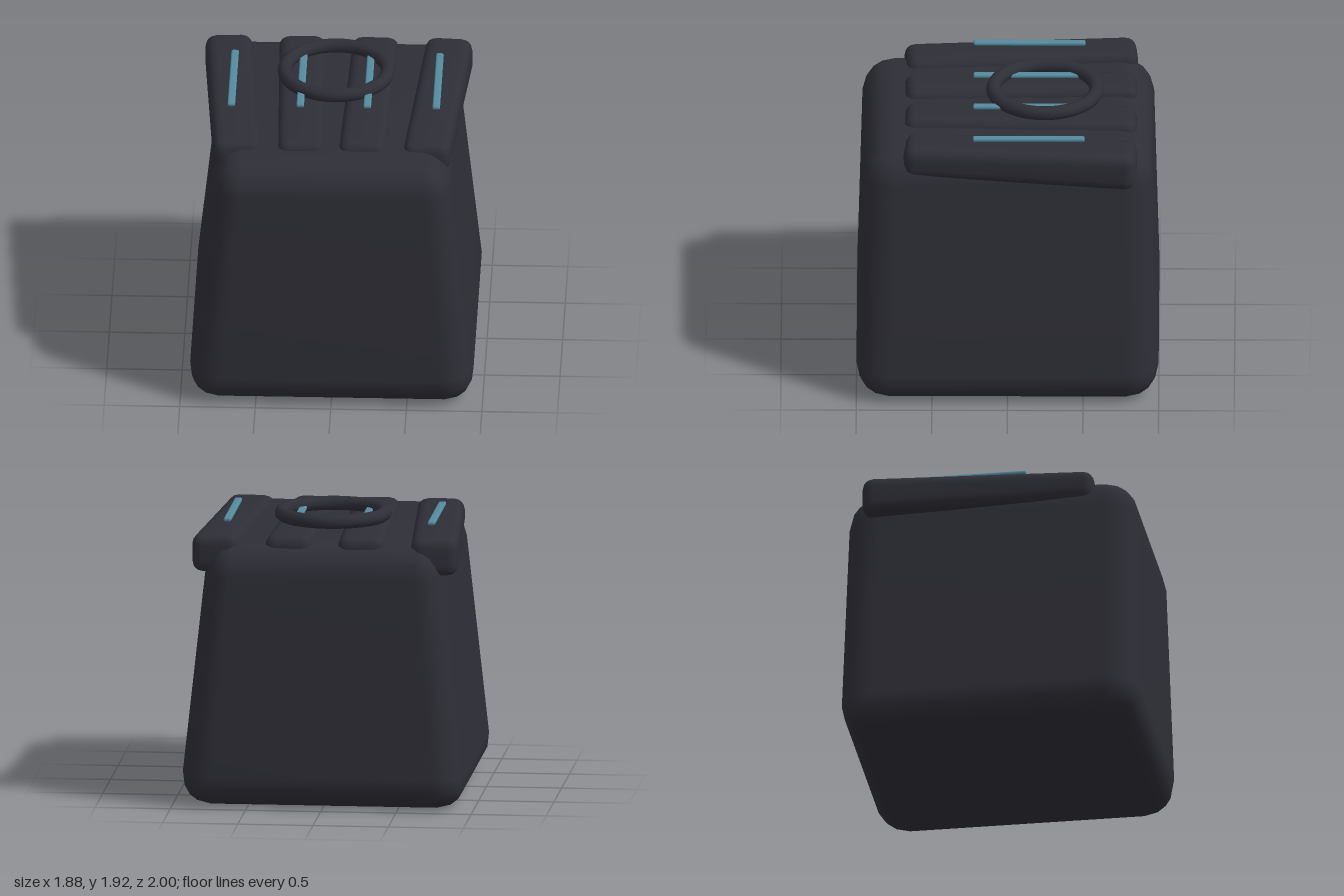
import * as THREE from 'three';
import { RoundedBoxGeometry } from 'three/addons/geometries/RoundedBoxGeometry.js';
import { mergeVertices } from 'three/addons/utils/BufferGeometryUtils.js';

const charcoal = new THREE.MeshStandardMaterial({ color: 0x2e2e37 });
charcoal.name = 'charcoal';
const teal = new THREE.MeshStandardMaterial({ color: 0x558a9f });
teal.name = 'teal';

// Smooth rounded box whose vertices are moved by the given rule
function shapedBox(w, h, d, r, rule) {
  let geo = new RoundedBoxGeometry(w, h, d, 2, r);
  const p = geo.attributes.position;
  const v = new THREE.Vector3();
  for (let i = 0; i < p.count; i++) {
    v.fromBufferAttribute(p, i);
    rule(v);
    p.setXYZ(i, v.x, v.y, v.z);
  }
  geo.deleteAttribute('normal');
  geo.deleteAttribute('uv');
  geo = mergeVertices(geo, 1e-4);
  geo.computeVertexNormals();
  return geo;
}

export function createModel() {
  const model = new THREE.Group();
  model.name = 'block';
  const add = (name, geo, mat, x, y, z, parent = model) => {
    const mesh = new THREE.Mesh(geo, mat);
    mesh.name = name;
    mesh.position.set(x, y, z);
    parent.add(mesh);
    return mesh;
  };

  // Tapered body, standing on the ground
  const body = shapedBox(2, 1.77, 2, 0.22, (v) => {
    v.y += 0.885;
    v.x *= 0.962 - 0.109 * v.y;
    v.z *= 1.005 - 0.026 * v.y;
  });
  add('body', body, charcoal, 0, 0, 0);

  // Everything on top sits very slightly off centre
  const top = new THREE.Group();
  top.name = 'topDetails';
  top.position.x = -0.007;
  model.add(top);

  // Four ridges: flat tops, undersides deeper towards the back
  const ridge = shapedBox(0.315, 0.235, 1.54, 0.075, (v) => {
    if (v.y < 0) v.y += 0.033 * v.z;
  });
  const strip = shapedBox(0.05, 0.028, 0.74, 0.012, () => {});
  for (const side of [-1, 1]) {
    const label = side > 0 ? 'left' : 'right';
    for (const [name, x, angle] of [['Outer', 0.678, 0.07], ['Inner', 0.222, 0.028]]) {
      const mesh = add(label + name + 'Ridge', ridge, charcoal, side * x, 1.7025, -0.085, top);
      mesh.rotation.y = -side * angle;
      // Thin light strip hovering over the ridge
      add(label + name + 'Strip', strip, teal, side * x, 1.859, -0.14, top);
    }
  }

  // Flat ring over the inner ridges
  const ring = new THREE.TorusGeometry(0.341, 0.047, 10, 40);
  ring.rotateX(Math.PI / 2);
  add('ring', ring, charcoal, 0, 1.873, -0.243, top);

  return model;
}
